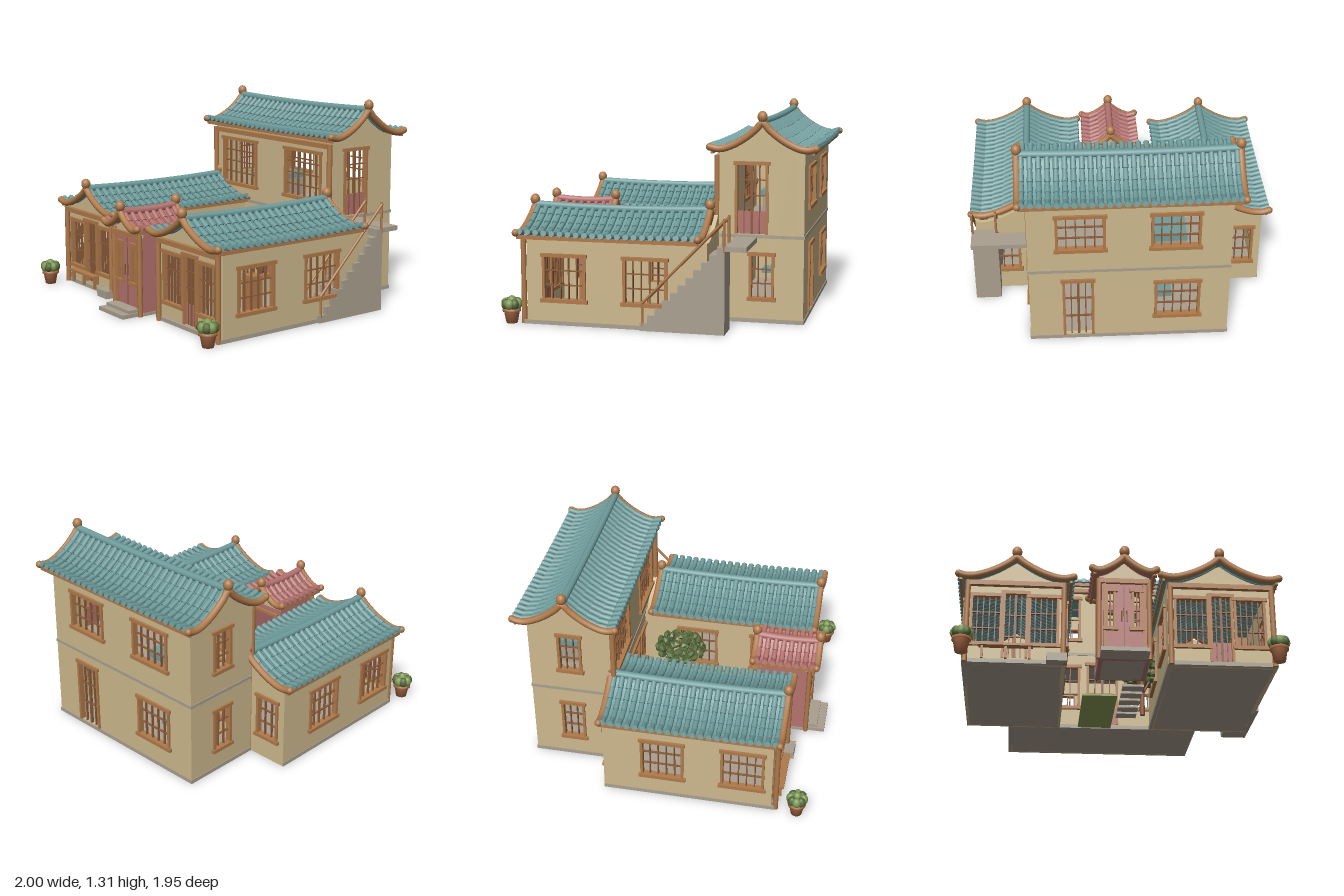
import * as THREE from 'three';
import { mergeGeometries } from 'three/addons/utils/BufferGeometryUtils.js';

const mat = (name, color, side = THREE.FrontSide) => {
  const m = new THREE.MeshStandardMaterial({ color, side });
  m.name = name;
  return m;
};
const V = (x, y, z) => new THREE.Vector3(x, y, z);
const UP = V(0, 1, 0);

export function createModel() {
  const M = {
    plaster: mat('plaster', 0xcdb98d), wood: mat('wood', 0xb07a4b), lattice: mat('dark wood', 0x8c5d3b),
    teal: mat('teal tile', 0x6f9c9c, THREE.DoubleSide), red: mat('red paint', 0xb5736f, THREE.DoubleSide),
    stone: mat('stone', 0xaaa08f), grass: mat('grass', 0x90a058), leaf: mat('leaf', 0x586b3b),
    clay: mat('clay', 0xb06f48), shrub: mat('shrub', 0x7e9a55),
  };
  const model = new THREE.Group();
  const group = (name, parent = model) => {
    const g = new THREE.Group();
    g.name = name;
    parent.add(g);
    return g;
  };
  const mesh = (name, geo, material, parent = model) => {
    const m = new THREE.Mesh(geo, material);
    m.name = name;
    parent.add(m);
    return m;
  };
  // Box given by its low and high corners
  const box = (name, x0, x1, y0, y1, z0, z1, material, parent) => {
    const m = mesh(name, new THREE.BoxGeometry(x1 - x0, y1 - y0, z1 - z0), material, parent);
    m.position.set((x0 + x1) / 2, (y0 + y1) / 2, (z0 + z1) / 2);
    return m;
  };
  const rod = (name, a, b, r, material, parent) => {
    const d = b.clone().sub(a);
    const m = mesh(name, new THREE.CylinderGeometry(r, r, d.length(), 10), material, parent);
    m.position.copy(a).addScaledVector(d, 0.5);
    m.quaternion.setFromUnitVectors(UP, d.normalize());
    return m;
  };

  // Framed lattice filling an opening in a wall
  const lattice = (g, { u, y, w, h, cols = 4, rows = 3, panel = 0, door = false }) => {
    const l = u - w / 2, r = u + w / 2, f = 0.017;
    for (const x of [l, r]) box('frameSide', x - f / 2, x + f / 2, y, y + h, -0.025, 0.012, M.wood, g);
    box('frameTop', l - 0.018, r + 0.018, y + h - 0.005, y + h + 0.017, -0.025, 0.016, M.wood, g);
    if (!door) box('sill', l - 0.02, r + 0.02, y - 0.018, y + 0.005, -0.025, 0.02, M.wood, g);
    if (panel) box('doorPanel', l, r, y, y + panel, -0.018, -0.006, M.red, g);
    for (let i = 1; i < cols; i++) {
      const x = l + w * i / cols, t = door && i * 2 === cols ? 0.008 : 0.0035;
      box('bar', x - t, x + t, y, y + h, -0.018, -0.003, M.lattice, g);
    }
    for (let j = 1; j < rows; j++) {
      const v = y + panel + (h - panel) * j / rows;
      box('bar', l, r, v - 0.0035, v + 0.0035, -0.017, -0.004, M.lattice, g);
    }
  };

  // Wall with openings; top is a height rule along the wall
  const wall = (parent, name, half, base, top, openings, turn, x, z, material = M.plaster) => {
    const g = group(name, parent);
    g.position.set(x, 0, z);
    g.rotation.y = turn * Math.PI / 2;
    const s = new THREE.Shape().moveTo(-half, base).lineTo(half, base);
    for (let i = 12; i >= -12; i--) s.lineTo(half * i / 12, top(half * i / 12));
    for (const { u, y, w, h } of openings) {
      const k = new THREE.Path().moveTo(u - w / 2, y).lineTo(u - w / 2, y + h);
      s.holes.push(k.lineTo(u + w / 2, y + h).lineTo(u + w / 2, y).closePath());
    }
    const geo = new THREE.ExtrudeGeometry(s, { depth: 0.025, bevelEnabled: false }).translate(0, 0, -0.025);
    mesh('wallPanel', geo, material, g);
    openings.forEach((o) => lattice(g, o));
  };

  // Sweeping height from ridge (a = 0) to eave (a = 1)
  const sweep = (y0, h) => (a) => y0 + h * (1 - a) ** 2 + 0.02 * Math.max(0, (a - 0.7) / 0.3) ** 2;

  // Tiled gable roof with the ridge along local z
  const roof = (parent, { x, z, half, len, y0, h, turn = 0, tile, rows }) => {
    const g = group('roof', parent), prof = sweep(y0, h);
    g.position.set(x, 0, z);
    g.rotation.y = turn * Math.PI / 2;
    const sag = (s) => -0.012 * (1 - (s / len) ** 2);
    const at = (a, s, up = 0) => V(a * half, prof(Math.abs(a)) + sag(s) + up, s);
    const sheet = new THREE.PlaneGeometry(2, 2 * len, 20, 8).rotateX(-Math.PI / 2);
    const p = sheet.attributes.position;
    for (let i = 0; i < p.count; i++) p.setXYZ(i, ...at(p.getX(i), p.getZ(i)).toArray());
    sheet.computeVertexNormals();
    mesh('roofSheet', sheet, tile, g);
    // Overlapping barrel tiles
    const tiles = [], n = Math.round(2 * len / 0.052);
    for (let c = 0; c < n; c++) {
      const s = -len + (c + 0.5) * 2 * len / n;
      for (const side of [-1, 1]) for (let r = 0; r < rows; r++) {
        const a = at(side * r / rows, s, 0.004), b = at(side * (r + 1.08) / rows, s, 0.008);
        const d = a.clone().sub(b), q = new THREE.Quaternion();
        const t = new THREE.CylinderGeometry(0.015, 0.019, d.length(), 8);
        t.applyQuaternion(q.setFromUnitVectors(UP, d.normalize()));
        tiles.push(t.translate(...a.add(b).multiplyScalar(0.5).toArray()));
      }
    }
    mesh('tiles', mergeGeometries(tiles), tile, g);
    const ridge = [-1, -0.5, 0, 0.5, 1].map((k) => at(0, k * len, 0.006));
    mesh('ridge', new THREE.TubeGeometry(new THREE.CatmullRomCurve3(ridge), 16, 0.024, 10), tile, g);
    // Curved gable beams, finials and eave boards
    for (const s of [-len, len]) {
      const pts = [];
      for (let i = -8; i <= 8; i++) pts.push(at(i / 8, s));
      mesh('gableBeam', new THREE.TubeGeometry(new THREE.CatmullRomCurve3(pts), 40, 0.022, 10), M.wood, g);
      for (const a of [-1, 1]) mesh('beamEnd', new THREE.SphereGeometry(0.023, 12, 8), M.wood, g).position.copy(at(a, s));
      const ball = mesh('finial', new THREE.SphereGeometry(0.031, 14, 10), M.wood, g);
      ball.position.copy(at(0, s, 0.037));
      ball.scale.y = 1.15;
    }
    for (const a of [-1, 1]) {
      const e = a * (half - 0.015);
      box('eaveBoard', e - 0.008, e + 0.008, prof(1) - 0.04, prof(1) - 0.015, -len, len, M.wood, g);
    }
  };

  const win = (u, y, w, h, cols, rows) => ({ u, y, w, h, cols, rows });
  const door = (u, y, w, h, panel = 0) => ({ u, y, w, h, cols: 4, rows: 3, panel, door: true });

  // Front posts and beam
  const portico = (g, x0, x1, z, y, r) => {
    for (const x of [x0, x1]) rod('post', V(x, 0, z), V(x, y, z), r, M.wood, g);
    box('headBeam', x0, x1, y - 0.03, y, z - 0.015, z + 0.015, M.wood, g);
  };

  // Side halls
  const hall = (name, x, hx, z, hz, roofSpec, front, back) => {
    const g = group(name), prof = sweep(0.55, 0.14);
    const gable = (u) => prof(Math.min(1, Math.abs(x + u - roofSpec.x) / roofSpec.half)) - 0.018;
    const sides = [0.53, 0.02];
    wall(g, 'frontWall', hx, 0, gable, front, 0, x, z + hz);
    wall(g, 'backWall', hx, 0, (u) => gable(-u), back, 2, x, z - hz);
    for (const k of [1, -1]) {
      const list = sides.map((w) => win(-k * (w - z), 0.16, 0.26, 0.27, 5, 3));
      wall(g, 'sideWall', hz, 0, () => 0.545, list, k, x + k * hx, z);
    }
    box('foundation', x - hx - 0.004, x + hx + 0.004, 0, 0.025, z - hz, z + hz + 0.02, M.stone, g);
    portico(g, x - hx + 0.015, x + hx - 0.015, z + hz + 0.025, 0.53, 0.017);
    roof(g, { ...roofSpec, y0: 0.55, h: 0.14, tile: M.teal, rows: 5 });
  };
  hall('westHall', -0.63, 0.305, 0.18, 0.54, { x: -0.632, z: 0.195, half: 0.348, len: 0.563 },
    [win(-0.175, 0.13, 0.18, 0.31, 5, 3), door(0, 0.04, 0.14, 0.42), win(0.17, 0.13, 0.17, 0.31, 5, 3)],
    [win(0.17, 0.16, 0.16, 0.27, 3, 3)]);
  hall('eastHall', 0.608, 0.325, 0.205, 0.565, { x: 0.603, z: 0.26, half: 0.36, len: 0.568 },
    [win(-0.18, 0.13, 0.2, 0.31, 6, 3), door(0, 0.03, 0.13, 0.43, 0.13), win(0.175, 0.13, 0.18, 0.31, 5, 3)],
    [win(-0.13, 0.16, 0.16, 0.27, 3, 3)]);

  // Two-storey main house
  const house = group('mainHouse'), hx = 0.625, hz = 0.265, cx = -0.035, cz = -0.625;
  const prof = sweep(1.07, 0.17), gable = (u) => prof(Math.abs(u) / 0.325) - 0.018;
  wall(house, 'frontWall', hx, 0, () => 1.06, [
    win(-0.31, 0.15, 0.3, 0.29, 5, 3), door(0, 0.03, 0.2, 0.43, 0.12), win(0.31, 0.15, 0.3, 0.29, 5, 3),
    win(-0.345, 0.65, 0.37, 0.31, 6, 4), win(0.34, 0.65, 0.36, 0.31, 6, 4)], 0, cx, cz + hz);
  wall(house, 'backWall', hx, 0, () => 1.06, [
    door(-0.32, 0.03, 0.18, 0.43), win(0.3, 0.17, 0.27, 0.26, 5, 3),
    win(-0.3, 0.71, 0.29, 0.24, 5, 3), win(0.28, 0.71, 0.29, 0.24, 5, 3)], 2, cx, cz - hz);
  wall(house, 'eastWall', hz, 0, gable, [
    door(-0.06, 0.555, 0.19, 0.43, 0.14), win(0.005, 0.155, 0.14, 0.27, 3, 3)], 1, cx + hx, cz);
  wall(house, 'westWall', hz, 0, gable, [
    win(0, 0.155, 0.14, 0.27, 3, 3), win(0, 0.7, 0.14, 0.26, 3, 3)], -1, cx - hx, cz);
  for (const [y, d] of [[0, 0.025], [0.53, 0.02]])
    box('floor', cx - hx - 0.005, cx + hx + 0.005, y, y + d, cz - hz - 0.005, cz + hz + 0.005, M.stone, house);
  portico(house, cx - hx + 0.01, cx + hx - 0.01, cz + hz + 0.012, 1.035, 0.018);
  roof(house, { x: -0.0425, z: -0.635, half: 0.325, len: 0.676, y0: 1.07, h: 0.17, turn: 1, tile: M.teal, rows: 5 });

  // Red gatehouse
  const gate = group('gatehouse'), gx = 0.015, gz = 0.675, gp = sweep(0.55, 0.1);
  const gateTop = (u) => gp(Math.abs(u) / 0.193) - 0.018;
  wall(gate, 'gateFront', 0.15, 0, () => 0.5,
    [win(-0.082, 0.2, 0.05, 0.24, 2, 4), win(0.076, 0.2, 0.05, 0.24, 2, 4)], 0, gx, gz + 0.165, M.red);
  wall(gate, 'gateBack', 0.15, 0, () => 0.5, [{ ...door(0, 0.01, 0.22, 0.44), cols: 1, rows: 1 }], 2, gx, gz - 0.165, M.red);
  for (const k of [-1, 1]) {
    wall(gate, 'gateSide', 0.165, 0, () => 0.535, [], k, gx + k * 0.15, gz, M.red);
    wall(gate, 'gateGable', 0.15, 0.5, gateTop, [], k + 1, gx, gz + (k === -1 ? 0.165 : -0.165));
    box('doorJamb', gx + k * 0.117 - 0.008, gx + k * 0.117 + 0.008, 0.03, 0.49, 0.83, 0.85, M.wood, gate);
    rod('handle', V(gx + k * 0.015, 0.24, 0.85), V(gx + k * 0.015, 0.31, 0.85), 0.004, M.lattice, gate);
  }
  box('doorGap', gx - 0.003, gx + 0.003, 0.04, 0.49, 0.835, 0.843, M.lattice, gate);
  portico(gate, gx - 0.15, gx + 0.15, 0.845, 0.52, 0.016);
  roof(gate, { x: gx, z: 0.68, half: 0.193, len: 0.21, y0: 0.55, h: 0.1, tile: M.red, rows: 3 });
  box('gateFloor', -0.14, 0.17, 0, 0.02, 0.51, 0.85, M.stone, gate);
  box('lowerStep', -0.13, 0.155, 0, 0.025, 0.8, 0.97, M.stone, gate);
  box('upperStep', -0.12, 0.145, 0.025, 0.045, 0.8, 0.92, M.stone, gate);

  // Outside stair with landing and handrails
  const stair = group('stair');
  for (let i = 0; i < 11; i++)
    box('step', 0.79, 0.955, 0, 0.53 * (i + 1) / 11, -0.47, 0.05 - i * 0.0473, M.stone, stair);
  box('landing', 0.59, 0.955, 0.505, 0.535, -0.6, -0.47, M.stone, stair);
  for (const x of [0.797, 0.948]) {
    rod('lowPost', V(x, 0.03, 0.035), V(x, 0.17, 0.035), 0.008, M.wood, stair);
    rod('highPost', V(x, 0.5, -0.465), V(x, 0.7, -0.465), 0.008, M.wood, stair);
    rod('handrail', V(x, 0.165, 0.04), V(x, 0.69, -0.47), 0.009, M.wood, stair);
  }

  // Courtyard
  box('lawn', -0.2, 0.02, 0, 0.012, -0.34, 0.25, M.grass);
  for (const z of [-0.1, 0.015, 0.14, 0.26, 0.38]) box('steppingStone', 0.04, 0.17, 0, 0.015, z - 0.04, z + 0.04, M.stone);
  const tree = group('tree');
  rod('trunk', V(0.21, 0, -0.08), V(0.21, 0.24, -0.08), 0.017, M.lattice, tree);
  for (let i = 0; i < 5; i++) {
    const a = i * 1.257;
    rod('branch', V(0.21, 0.14, -0.08), V(0.21 + 0.08 * Math.cos(a), 0.3, -0.08 + 0.1 * Math.sin(a)), 0.008, M.lattice, tree);
  }
  for (let i = 0; i < 60; i++) {
    const k = 1 - 2 * (i + 0.5) / 60, r = Math.sqrt(1 - k * k) * (i % 3 ? 1 : 0.6), a = i * 2.4;
    const tuft = mesh('tuft', new THREE.IcosahedronGeometry(0.036, 0), M.leaf, tree);
    tuft.position.set(0.21 + 0.13 * r * Math.cos(a), 0.325 + 0.085 * k, -0.09 + 0.16 * r * Math.sin(a));
    tuft.rotation.set(a, i, 0);
    tuft.scale.y = 0.6;
  }

  // Potted shrubs
  const potProfile = [[0, 0], [0.035, 0], [0.048, 0.07], [0.057, 0.072], [0.057, 0.09], [0.045, 0.09], [0, 0.082]];
  for (const [x, z] of [[-0.935, 0.88], [0.927, 0.875]]) {
    const pot = group('pottedShrub');
    pot.position.set(x, 0, z);
    mesh('pot', new THREE.LatheGeometry(potProfile.map((p) => new THREE.Vector2(...p)), 16), M.clay, pot);
    for (let i = 0; i < 9; i++) {
      const a = i * Math.PI / 4, r = i < 8 ? 0.04 : 0;
      const lump = mesh('shrubLump', new THREE.IcosahedronGeometry(0.029, 1), i % 2 ? M.leaf : M.shrub, pot);
      lump.position.set(r * Math.cos(a), i < 8 ? 0.12 : 0.137, r * Math.sin(a));
      lump.scale.y = 1.2;
    }
  }

  // Porch pieces and furniture
  box('sideStep', -0.44, -0.32, 0.0, 0.05, 0.72, 0.8, M.stone);
  const bench = group('bench');
  box('seat', -0.84, -0.52, 0.095, 0.11, 0.735, 0.785, M.wood, bench);
  for (const x of [-0.82, -0.68, -0.54]) box('benchLeg', x - 0.008, x + 0.008, 0.02, 0.095, 0.75, 0.77, M.wood, bench);
  box('cabinet', 0.72, 0.82, 0.025, 0.33, 0.39, 0.47, M.wood);
  box('bookcase', -0.48, -0.39, 0.025, 0.31, 0.2, 0.32, M.lattice);
  for (const y of [0.12, 0.2, 0.28]) box('books', -0.47, -0.4, y - 0.03, y + 0.02, 0.318, 0.325, M.teal);
  box('bedBase', -0.39, -0.2, 0.55, 0.68, -0.8, -0.5, M.stone);
  box('bedCover', -0.395, -0.195, 0.68, 0.72, -0.8, -0.49, M.teal);
  box('table', -0.32, -0.2, 0.15, 0.18, -0.7, -0.5, M.teal);
  return model;
}
